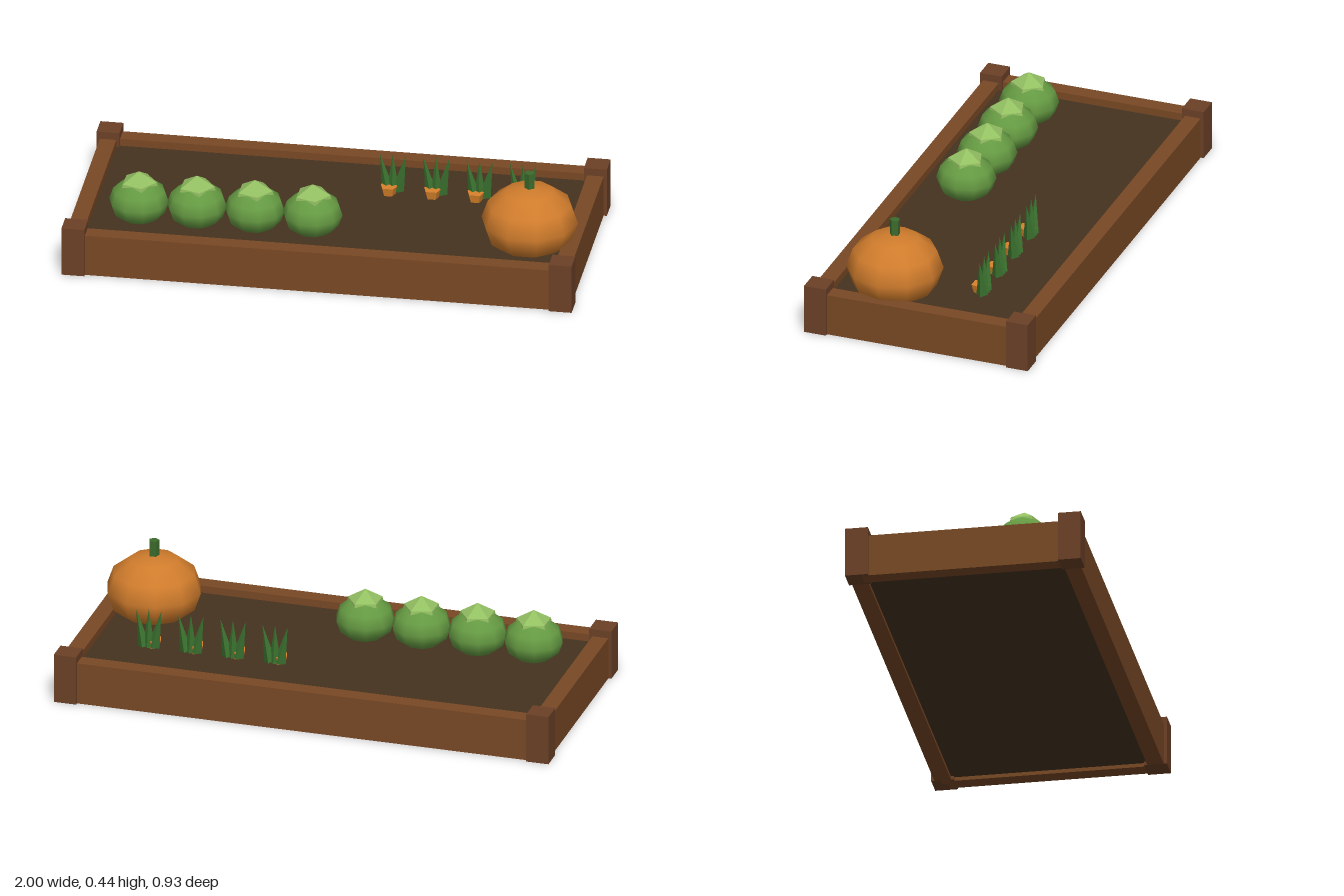
import * as THREE from 'three';

const mat = (color, flatShading = true) => new THREE.MeshStandardMaterial({ color, flatShading });
const M = {
  post: mat(0x6b4026), plank: mat(0x784824), soil: mat(0x463220),
  cabbage: mat(0x659a42, false), heart: mat(0x93bf62), leaf: mat(0x3a702e),
  pumpkin: mat(0xd07c2c, false), carrot: mat(0xd9822b), stem: mat(0x3c6a2c),
};

function add(parent, name, geometry, material, x = 0, y = 0, z = 0) {
  const mesh = new THREE.Mesh(geometry, material);
  mesh.name = name;
  mesh.position.set(x, y, z);
  parent.add(mesh);
  return mesh;
}

function group(parent, name, x, y, z) {
  const g = new THREE.Group();
  g.name = name;
  g.position.set(x, y, z);
  parent.add(g);
  return g;
}

export function createModel() {
  const model = new THREE.Group();
  model.name = 'vegetableBed';

  // Wooden frame: corner posts, long and short planks
  const frame = group(model, 'frame', 0, 0, 0);
  for (const s of [-1, 1]) {
    for (const t of [-1, 1]) {
      add(frame, 'cornerPost', new THREE.BoxGeometry(0.09, 0.2, 0.09), M.post, s * 0.955, 0.1, t * 0.418);
    }
    add(frame, 'longPlank', new THREE.BoxGeometry(1.9, 0.17, 0.065), M.plank, 0, 0.085, s * 0.418);
    add(frame, 'shortPlank', new THREE.BoxGeometry(0.065, 0.17, 0.8), M.plank, s * 0.955, 0.085, 0);
  }
  add(model, 'soil', new THREE.BoxGeometry(1.86, 0.125, 0.79), M.soil, 0, 0.0775, 0);

  // Row of cabbages, each a squashed ball with a faceted heart on top
  const ball = new THREE.SphereGeometry(0.117, 10, 6).scale(1, 0.78, 1);
  const heart = new THREE.LatheGeometry(
    [[0, -0.04], [0.076, -0.03], [0.07, 0], [0, 0.042]].map(([r, y]) => new THREE.Vector2(r, y)), 5);
  for (let i = 0; i < 4; i++) {
    const cabbage = group(model, 'cabbage', -0.74 + i * 0.227, 0.21, 0.195);
    add(cabbage, 'cabbageBody', ball, M.cabbage);
    add(cabbage, 'cabbageHeart', heart, M.heart, 0, 0.083, 0).rotation.y = 0.3;
  }

  // Row of carrots with a fan of three spiky leaves
  const root = new THREE.ConeGeometry(0.036, 0.13, 5).rotateX(Math.PI);
  const blade = new THREE.ConeGeometry(0.024, 0.155, 4).translate(0, 0.0775, 0);
  for (let i = 0; i < 4; i++) {
    const carrot = group(model, 'carrot', 0.195 + i * 0.17, 0.15, -0.17);
    add(carrot, 'carrotRoot', root, M.carrot, -0.012, -0.04, 0.02);
    for (const k of [-1, 0, 1]) {
      add(carrot, 'carrotLeaf', blade, M.leaf, k * 0.02, 0, 0).rotation.z = -k * 0.2;
    }
  }

  // Pumpkin and its stem
  const pumpkin = group(model, 'pumpkin', 0.787, 0.237, 0.168);
  add(pumpkin, 'pumpkinBody', new THREE.SphereGeometry(0.189, 10, 6).scale(1, 0.77, 1), M.pumpkin);
  add(pumpkin, 'pumpkinStem', new THREE.CylinderGeometry(0.021, 0.021, 0.09, 5), M.stem, 0, 0.16, 0);

  return model;
}
